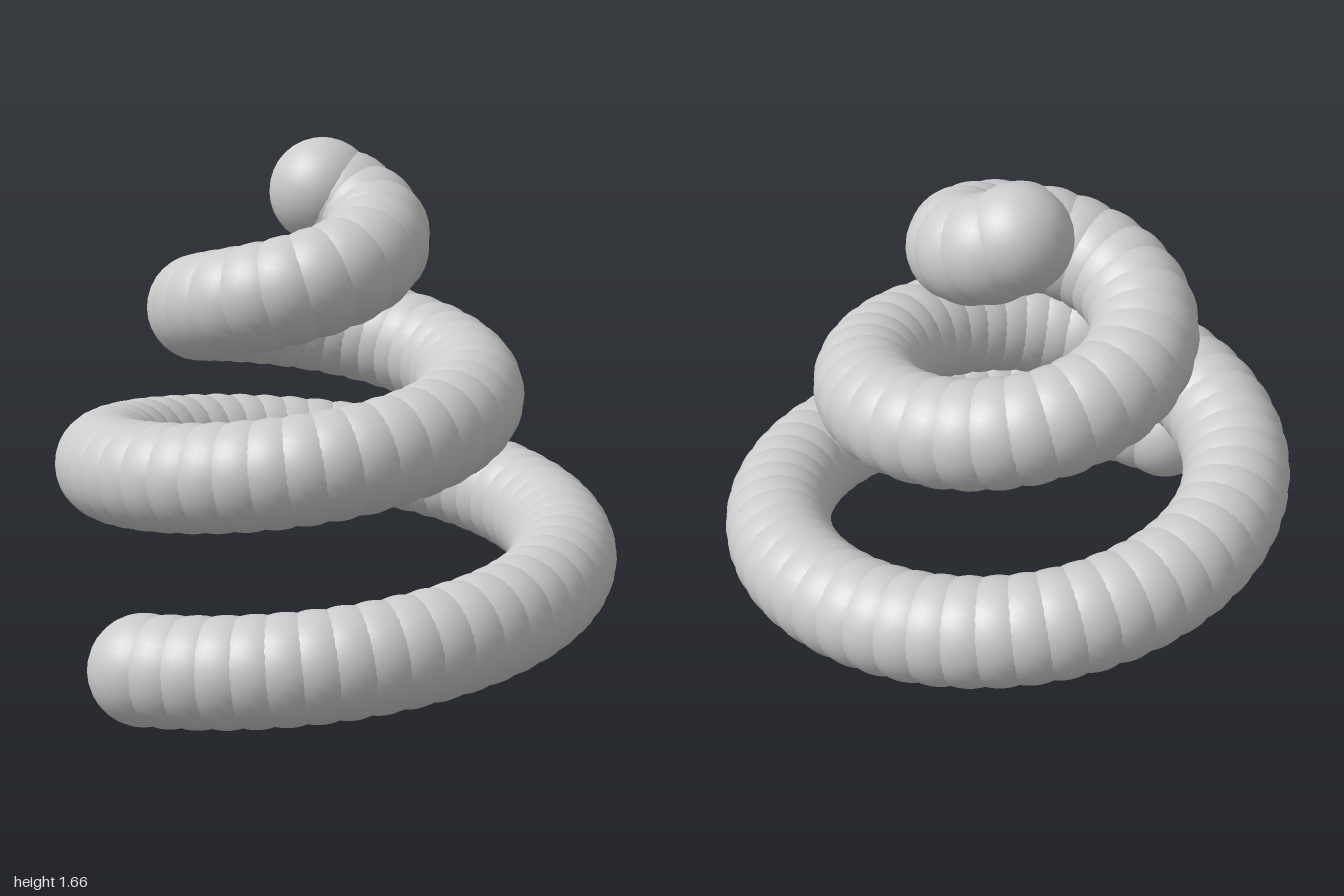
import * as THREE from 'three';

const BALL_RADIUS = 0.172;
const BALL_COUNT = 96;
const TURNS = 2.55;

// Conical spiral, shrinking evenly as it climbs counter-clockwise from the front
class ConicalSpiral extends THREE.Curve {
  getPoint(t, target = new THREE.Vector3()) {
    const angle = 0.315 + t * TURNS * Math.PI * 2;
    const radius = THREE.MathUtils.lerp(0.922, 0.138, t);
    const height = THREE.MathUtils.lerp(0.175, 1.494, t) + 0.012 * Math.sin(Math.PI * t);
    return target.set(
      -0.08 + radius * Math.sin(angle),
      height,
      -0.055 + radius * Math.cos(angle)
    );
  }
}

export function createModel() {
  const model = new THREE.Group();
  model.name = 'spiralCoil';

  const material = new THREE.MeshStandardMaterial({ color: 0xcccccc });
  const ball = new THREE.SphereGeometry(BALL_RADIUS, 32, 16);
  const path = new ConicalSpiral();
  path.arcLengthDivisions = 600;

  // Overlapping balls strung evenly along the spiral
  path.getSpacedPoints(BALL_COUNT - 1).forEach((point, i) => {
    const mesh = new THREE.Mesh(ball, material);
    mesh.name = `coilBall${i + 1}`;
    mesh.position.copy(point);
    model.add(mesh);
  });

  return model;
}
